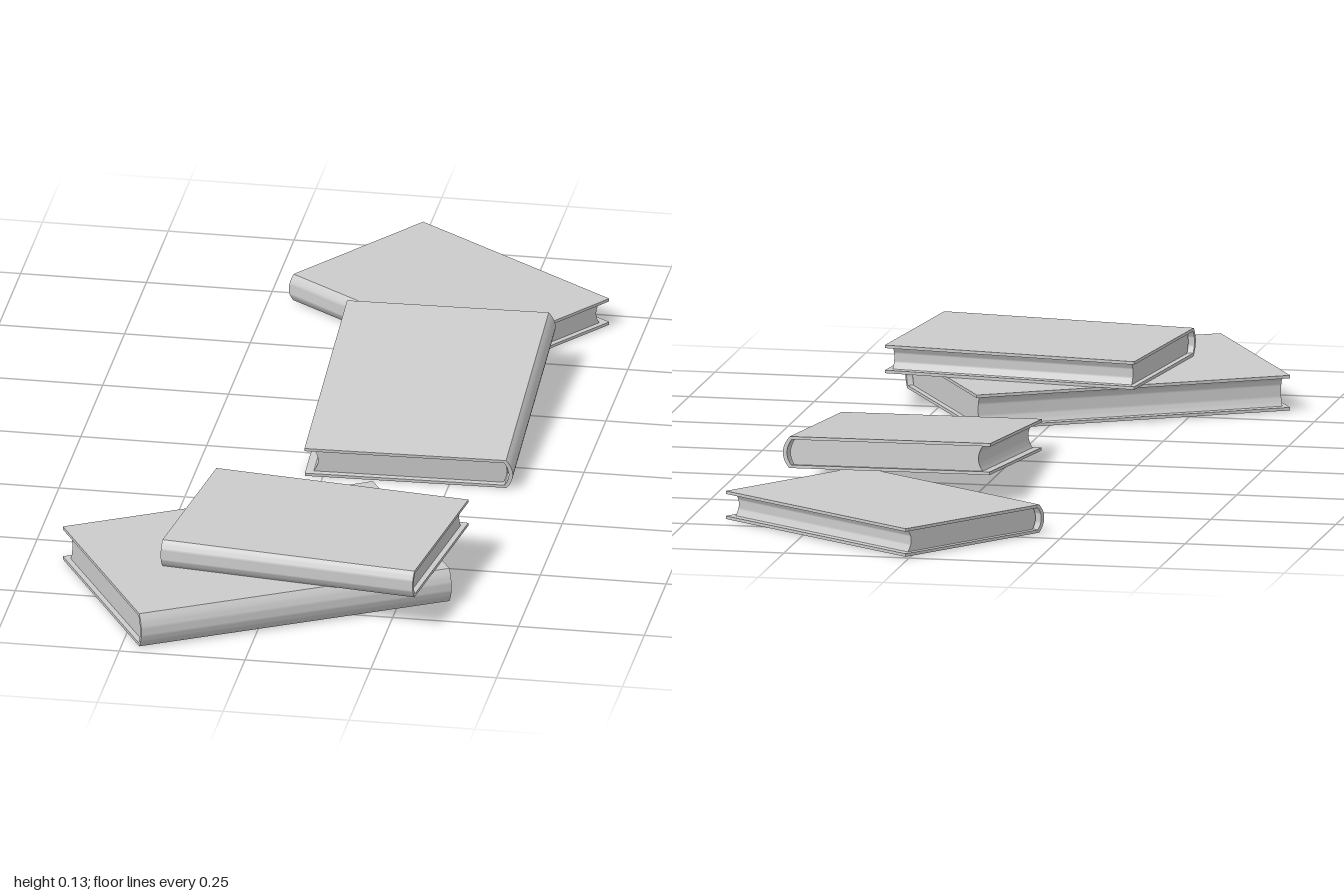
import * as THREE from 'three';
import { toCreasedNormals } from 'three/addons/utils/BufferGeometryUtils.js';

const material = new THREE.MeshStandardMaterial({ color: 0xcccccc });

// Extrudes a cross-section along z, centred, keeping the curves smooth
function extrude(shape, length) {
  const geo = new THREE.ExtrudeGeometry(shape, { depth: length, bevelEnabled: false, curveSegments: 12 });
  geo.translate(0, 0, -length / 2);
  return toCreasedNormals(geo, 0.6);
}

// A closed hardback, spine towards +x, centred on its origin
function makeBook(width, length, height) {
  const board = 0.006, bulge = 0.013, recess = 0.016;
  const w = width / 2, h = height / 2, hi = h - board;
  const spineX = w - bulge;

  // Boards and rounded spine in one wrap-around section
  const cover = new THREE.Shape();
  cover.moveTo(-w, -h);
  cover.lineTo(spineX, -h);
  cover.quadraticCurveTo(w + bulge, 0, spineX, h);
  cover.lineTo(-w, h);
  cover.lineTo(-w, hi);
  cover.lineTo(spineX - 0.004, hi);
  cover.quadraticCurveTo(w + bulge - 0.012, 0, spineX - 0.004, -hi);
  cover.lineTo(-w, -hi);
  cover.closePath();

  // Page block with a hollow fore edge and a rounded back
  const pages = new THREE.Shape();
  pages.moveTo(-w + recess, -hi);
  pages.lineTo(spineX - 0.008, -hi);
  pages.quadraticCurveTo(w + bulge - 0.018, 0, spineX - 0.008, hi);
  pages.lineTo(-w + recess, hi);
  pages.quadraticCurveTo(-w + recess + 0.018, 0, -w + recess, -hi);

  const book = new THREE.Group();
  const coverMesh = new THREE.Mesh(extrude(cover, length), material);
  coverMesh.name = 'cover';
  const pageMesh = new THREE.Mesh(extrude(pages, length - 0.022), material);
  pageMesh.name = 'pages';
  book.add(coverMesh, pageMesh);
  return book;
}

export function createModel() {
  const model = new THREE.Group();
  model.name = 'scatteredBooks';

  // size: width, length, height; at: centre; yaw and tilt in radians
  const books = [
    { name: 'largeBook', size: [0.457, 0.645, 0.07], at: [-0.04, 0.039, 0.63], yaw: -1.055, tilt: 0 },
    { name: 'stackedBook', size: [0.372, 0.516, 0.056], at: [0.069, 0.102, 0.603], yaw: -1.697, tilt: 0 },
    { name: 'leaningBook', size: [0.412, 0.578, 0.062], at: [0.163, 0.064, -0.179], yaw: 0.026, tilt: 0.11 },
    { name: 'rearBook', size: [0.37, 0.518, 0.056], at: [0.11, 0.032, -0.7], yaw: -2.19, tilt: 0 },
  ];
  for (const { name, size, at, yaw, tilt } of books) {
    const book = makeBook(...size);
    book.name = name;
    book.position.set(...at);
    book.rotation.set(tilt, yaw, 0, 'YXZ');
    model.add(book);
  }
  return model;
}
